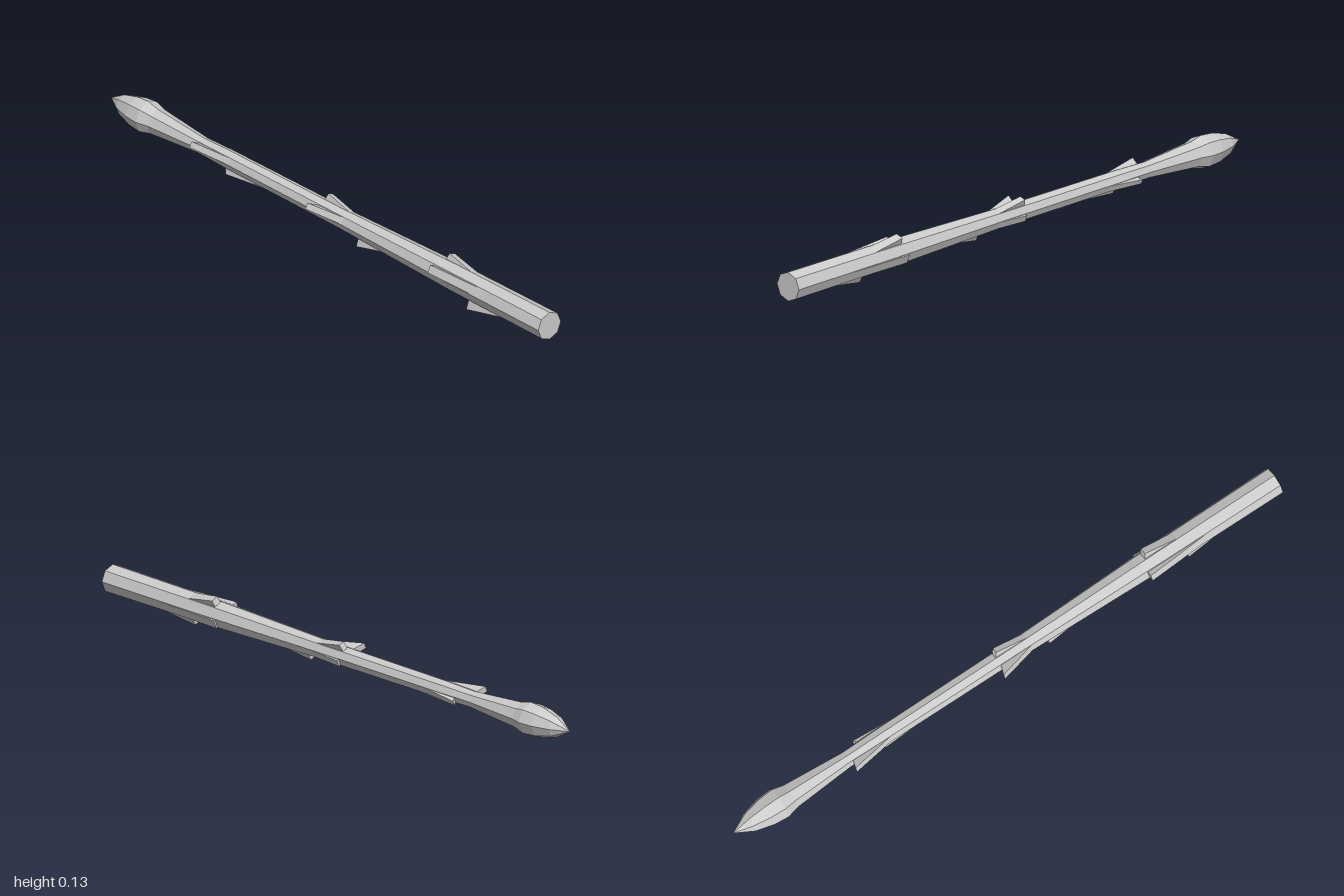
import * as THREE from 'three';
import { ConvexGeometry } from 'three/addons/geometries/ConvexGeometry.js';

const SIDES = 8;
const CX = 0.005, CY = 0.0715;
const mat = new THREE.MeshStandardMaterial({ color: 0xcccccc, flatShading: true });

// Octagonal body turned around the z axis from [z, radius] pairs, front to back
function turned(name, profile) {
  const geo = new THREE.LatheGeometry(profile.map(([z, r]) => new THREE.Vector2(r, -z)), SIDES);
  geo.rotateX(-Math.PI / 2);
  const mesh = new THREE.Mesh(geo, mat);
  mesh.name = name;
  return mesh;
}

// Wedge that rises from the stem face at zStart to a blunt edge at zTip
function thorn({ face, zStart, zTip, zBase = zTip, rStart, rTip, base = 0.03, top = 0.02 }) {
  const pts = [];
  for (const s of [-0.5, 0.5]) {
    pts.push(
      new THREE.Vector3(rStart, s * base, zStart),
      new THREE.Vector3(0.024, s * base * 0.8, zBase),
      new THREE.Vector3(rTip, s * top, zTip)
    );
  }
  const mesh = new THREE.Mesh(new ConvexGeometry(pts), mat);
  mesh.rotation.z = (face + 0.5) * Math.PI * 2 / SIDES; // middle of an octagon side
  mesh.name = 'thorn';
  return mesh;
}

export function createModel() {
  const model = new THREE.Group();
  model.name = 'thornyStem';

  const body = new THREE.Group();
  body.name = 'body';
  body.position.set(CX, CY, 0);
  model.add(body);

  // Stem with a flat front end, thinning towards the back
  body.add(turned('stem', [
    [1, 0], [1, 0.046], [0.58, 0.044], [0.06, 0.032], [-0.45, 0.030], [-0.58, 0.027], [-0.79, 0.043]
  ]));

  // Pointed bud at the back end
  body.add(turned('bud', [
    [-0.79, 0.043], [-0.83, 0.053], [-0.88, 0.049], [-0.94, 0.033], [-1, 0]
  ]));

  // Three clusters of thorns; faces: 1 top, 3 left in front view, 5 below, 7 opposite side
  const thorns = [
    { face: 1, zStart: 0.64, zTip: 0.53, zBase: 0.52, rStart: 0.041, rTip: 0.061, top: 0.025 },
    { face: 3, zStart: 0.73, zTip: 0.51, rStart: 0.041, rTip: 0.058, top: 0.026 },
    { face: 5, zStart: 0.82, zTip: 0.66, rStart: 0.041, rTip: 0.073, top: 0.016 },
    { face: 7, zStart: 0.80, zTip: 0.51, rStart: 0.041, rTip: 0.045, top: 0.03 },

    { face: 1, zStart: 0.09, zTip: -0.02, zBase: -0.03, rStart: 0.029, rTip: 0.051, base: 0.023 },
    { face: 3, zStart: 0.09, zTip: -0.04, zBase: -0.025, rStart: 0.029, rTip: 0.067, base: 0.023 },
    { face: 5, zStart: 0.27, zTip: 0.15, rStart: 0.032, rTip: 0.058, base: 0.025, top: 0.014 },
    { face: 7, zStart: 0.12, zTip: -0.02, rStart: 0.029, rTip: 0.037, base: 0.024, top: 0.022 },

    { face: 3, zStart: -0.43, zTip: -0.58, zBase: -0.57, rStart: 0.027, rTip: 0.056, base: 0.022 },
    { face: 5, zStart: -0.28, zTip: -0.45, zBase: -0.46, rStart: 0.028, rTip: 0.046, base: 0.022, top: 0.015 },
    { face: 7, zStart: -0.38, zTip: -0.53, zBase: -0.52, rStart: 0.027, rTip: 0.041, base: 0.022, top: 0.016 }
  ];
  thorns.forEach((t) => body.add(thorn(t)));

  return model;
}
